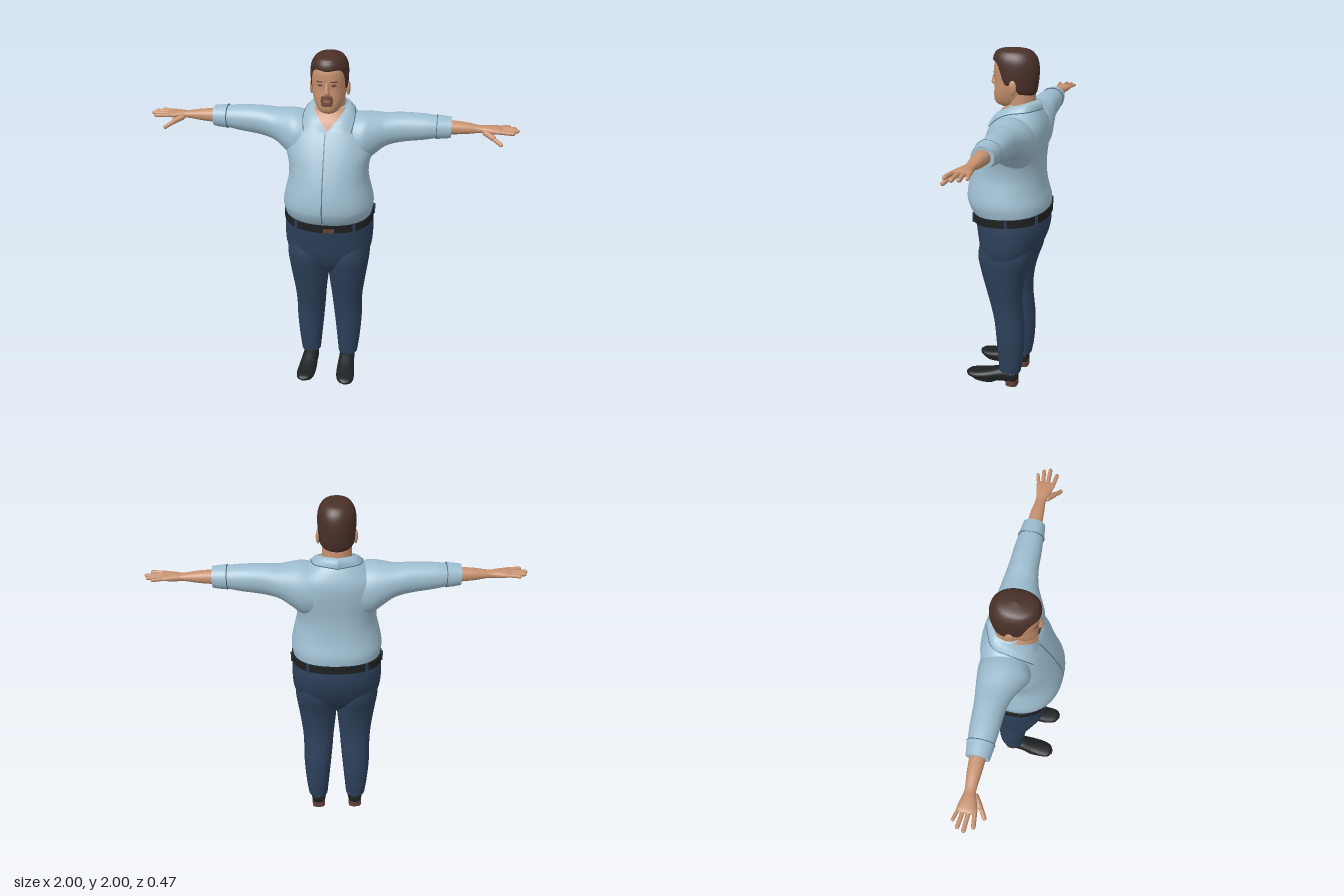
import * as THREE from 'three';
import { mergeVertices, mergeGeometries, toCreasedNormals } from 'three/addons/utils/BufferGeometryUtils.js';

const mat = (name, color, side = THREE.FrontSide) => {
  const m = new THREE.MeshStandardMaterial({ color, side });
  m.name = name;
  return m;
};
const { lerp } = THREE.MathUtils;

// Smooth interpolation of a table of rows, keyed by the first column
function sample(rows, t) {
  let i = 0;
  while (i < rows.length - 2 && t > rows[i + 1][0]) i++;
  const p = rows[i], q = rows[i + 1], h = q[0] - p[0];
  const s = Math.min(1, Math.max(0, (t - p[0]) / h));
  const slope = (k, c) => {
    const a = rows[Math.max(0, k - 1)], b = rows[Math.min(rows.length - 1, k + 1)];
    return (b[c] - a[c]) / (b[0] - a[0]);
  };
  return p.map((v, c) => c === 0 ? t :
    v * (1 + 2 * s) * (1 - s) ** 2 + h * slope(i, c) * s * (1 - s) ** 2 +
    q[c] * s * s * (3 - 2 * s) + h * slope(i + 1, c) * s * s * (s - 1));
}

// Grid surface from fn(u, v) -> [x, y, z]
function grid(nu, nv, fn) {
  const pos = [], idx = [];
  for (let i = 0; i <= nv; i++) for (let j = 0; j <= nu; j++) pos.push(...fn(j / nu, i / nv));
  for (let i = 0; i < nv; i++) for (let j = 0; j < nu; j++) {
    const a = i * (nu + 1) + j, b = a + nu + 1;
    idx.push(a, a + 1, b, a + 1, b + 1, b);
  }
  let g = new THREE.BufferGeometry();
  g.setAttribute('position', new THREE.Float32BufferAttribute(pos, 3));
  g.setIndex(idx);
  g = mergeVertices(g, 1e-5);
  g.computeVertexNormals();
  return g;
}

// Point on a superelliptic section [t, a0, a1, b0, b1]; a, b, t are right-handed
const place = { x: (a, b, t) => [t, a, b], y: (a, b, t) => [b, t, a], z: (a, b, t) => [a, b, t] };
function ringPoint(r, u, n, axis, off = 0) {
  const c = Math.cos(u * 2 * Math.PI), s = Math.sin(u * 2 * Math.PI);
  const f = (v) => Math.sign(v) * Math.abs(v) ** (2 / n);
  return place[axis]((r[1] + r[2]) / 2 + ((r[2] - r[1]) / 2 + off) * f(c),
    (r[3] + r[4]) / 2 + ((r[4] - r[3]) / 2 + off) * f(s), r[0]);
}

// Closed body lofted through rows, with flat ends
function loft(rows, axis, n = 2, seg = 40, sub = 4) {
  const count = (rows.length - 1) * sub;
  const at = (v) => {
    const k = Math.min(rows.length - 2, Math.floor(v * (rows.length - 1) + 1e-9));
    return sample(rows, lerp(rows[k][0], rows[k + 1][0], v * (rows.length - 1) - k));
  };
  const cap = (r, top) => grid(seg, 1, (u, v) => {
    const mid = [r[0], (r[1] + r[2]) / 2, (r[1] + r[2]) / 2, (r[3] + r[4]) / 2, (r[3] + r[4]) / 2];
    return ringPoint((v === 1) === top ? mid : r, u, n, axis);
  });
  return mergeGeometries([grid(seg, count, (u, v) => ringPoint(at(v), u, n, axis)),
    cap(rows[0], false), cap(rows[rows.length - 1], true)]);
}

// Rows given as [y, zBack, zFront, halfWidth]
const sym = (rows) => rows.map(([y, b, f, w]) => [y, b, f, -w, w]);

// Thin patch lying on the front of a lofted body
function patch(rows, n, y0, y1, xRange, off = 0.004) {
  return grid(8, 20, (u, v) => {
    const y = lerp(y0, y1, v), r = sample(rows, y), [xa, xb] = xRange(v), x = lerp(xa, xb, u);
    const k = Math.max(0, 1 - Math.abs(x / r[4]) ** n) ** (1 / n);
    return [x, y, (r[1] + r[2]) / 2 + (r[2] - r[1]) / 2 * k + off];
  });
}
const oval = (cx, w) => (v) => {
  const h = w * Math.sqrt(Math.max(0, 1 - (2 * v - 1) ** 2));
  return [cx - h, cx + h];
};

// Rounded rod between two points
function rod(a, b, r) {
  const p = new THREE.Vector3(...a), q = new THREE.Vector3(...b), d = q.clone().sub(p);
  const g = new THREE.CapsuleGeometry(r, Math.max(0.001, d.length() - 2 * r), 5, 12);
  g.applyQuaternion(new THREE.Quaternion().setFromUnitVectors(new THREE.Vector3(0, 1, 0), d.clone().normalize()));
  return g.translate(...p.add(q).multiplyScalar(0.5).toArray());
}
const ball = (x, y, z, sx, sy, sz) => new THREE.SphereGeometry(1, 20, 14).scale(sx, sy, sz).translate(x, y, z);
const box = (x, y, z, w, h, d) => new THREE.BoxGeometry(w, h, d).translate(x, y, z);

function mirrored(geo) {
  const g = geo.clone().scale(-1, 1, 1), ix = g.index.array;
  for (let i = 0; i < ix.length; i += 3) [ix[i], ix[i + 1]] = [ix[i + 1], ix[i]];
  return g;
}

export function createModel() {
  const root = new THREE.Group();
  root.name = 'standingMan';
  const shirt = mat('shirtBlue', 0x9dbdcf, THREE.DoubleSide), seam = mat('seamBlue', 0x567080);
  const denim = mat('trouserNavy', 0x2d405a), skin = mat('skin', 0xc6916f), hair = mat('hairBrown', 0x4a3029, THREE.DoubleSide);
  const black = mat('leatherBlack', 0x1d2022, THREE.DoubleSide), sole = mat('soleBrown', 0x60403a);
  const beard = mat('beardBrown', 0x70493a), lip = mat('lipAndLid', 0x9c6653), buckle = mat('buckleBrown', 0x6a4232);
  const add = (name, geo, m) => {
    const mesh = new THREE.Mesh(geo, m);
    mesh.name = name;
    root.add(mesh);
  };
  const pair = (name, geo, m) => {
    add(name + 'Left', geo, m);
    add(name + 'Right', mirrored(geo), m);
  };

  // Shirt body
  const torso = sym([[1.09, -0.215, 0.185, 0.235], [1.13, -0.226, 0.212, 0.245], [1.18, -0.226, 0.23, 0.25],
    [1.25, -0.207, 0.225, 0.236], [1.33, -0.196, 0.205, 0.218], [1.4, -0.195, 0.18, 0.22], [1.47, -0.2, 0.15, 0.235],
    [1.54, -0.205, 0.115, 0.232], [1.6, -0.2, 0.08, 0.21], [1.65, -0.18, 0.052, 0.16], [1.69, -0.155, 0.015, 0.105],
    [1.71, -0.138, -0.01, 0.075]]);
  add('shirtBody', loft(torso, 'y', 2.3, 56), shirt);
  add('shirtPlacket', patch(torso, 2.3, 1.12, 1.6, () => [-0.012, -0.006], 0.003), seam);
  add('openNeck', patch(torso, 2.3, 1.6, 1.7, (v) => [-0.085 * v, 0.085 * v]), skin);

  // Sleeves and cuffs
  pair('sleeve', loft([[0.1, 1.37, 1.655, -0.185, 0.07], [0.18, 1.385, 1.67, -0.188, 0.08], [0.24, 1.435, 1.667, -0.18, 0.052],
    [0.3, 1.483, 1.662, -0.17, 0.022], [0.38, 1.508, 1.668, -0.158, 0.002], [0.5, 1.527, 1.666, -0.15, -0.005],
    [0.58, 1.543, 1.658, -0.14, -0.013], [0.635, 1.55, 1.652, -0.13, -0.02]], 'x', 2.1), shirt);
  pair('cuff', loft([[0.57, 1.537, 1.664, -0.145, -0.008], [0.61, 1.54, 1.66, -0.139, -0.013],
    [0.645, 1.546, 1.656, -0.134, -0.017]], 'x', 2.1), shirt);
  pair('cuffSeam', loft([[0.566, 1.538, 1.663, -0.144, -0.009], [0.57, 1.535, 1.666, -0.147, -0.006]], 'x', 2.1, 40, 1), seam);

  // Collar: a folded strip from the open front round to the nape
  const curve = (pts) => new THREE.CatmullRomCurve3(pts.map((p) => new THREE.Vector3(...p)));
  const inner = curve([[0.005, 1.6, 0.088], [0.05, 1.655, 0.062], [0.087, 1.698, -0.02], [0.08, 1.722, -0.1], [0, 1.73, -0.148]]);
  const outer = curve([[0.125, 1.595, 0.082], [0.136, 1.645, 0.03], [0.136, 1.672, -0.03], [0.115, 1.685, -0.125], [0, 1.685, -0.182]]);
  pair('collar', grid(24, 4, (u, v) => {
    const p = inner.getPoint(u).lerp(outer.getPoint(u), v), lift = 0.014 * Math.sin(v * Math.PI);
    return [p.x, p.y + lift * 0.6, p.z + lift * (1 - 2 * u) * 0.8];
  }), shirt);
  pair('collarEdge', new THREE.TubeGeometry(outer, 24, 0.0025, 6), seam);

  // Forearms and hands
  pair('forearm', loft([[0.62, 1.563, 1.639, -0.117, -0.035], [0.72, 1.571, 1.632, -0.11, -0.04], [0.8, 1.582, 1.62, -0.1, -0.045],
    [0.84, 1.58, 1.622, -0.106, -0.033], [0.89, 1.588, 1.62, -0.116, -0.02], [0.91, 1.594, 1.615, -0.11, -0.027]], 'x', 2.2, 28), skin);
  [[-0.03, 0.975, -0.018], [-0.056, 1, -0.06], [-0.08, 0.988, -0.093], [-0.102, 0.958, -0.122]].forEach(([z0, x, z1], i) =>
    pair('finger' + (i + 1), rod([0.88, 1.604, z0], [x, 1.604, z1], i === 3 ? 0.009 : 0.0108), skin));
  pair('thumbBase', rod([0.81, 1.597, -0.05], [0.875, 1.572, -0.005], 0.015), skin);
  pair('thumb', rod([0.855, 1.58, -0.015], [0.914, 1.548, 0.021], 0.011), skin);

  // Neck, head, ears and nose
  add('neck', loft(sym([[1.6, -0.15, 0.05, 0.09], [1.65, -0.145, 0.035, 0.085], [1.7, -0.14, 0.012, 0.079],
    [1.78, -0.135, 0, 0.077]]), 'y'), skin);
  const head = sym([[1.69, -0.05, 0.05, 0.035], [1.705, -0.085, 0.077, 0.055], [1.735, -0.11, 0.087, 0.072],
    [1.78, -0.13, 0.085, 0.086], [1.83, -0.14, 0.081, 0.091], [1.88, -0.145, 0.085, 0.093], [1.93, -0.14, 0.079, 0.089],
    [1.965, -0.11, 0.055, 0.068]]);
  add('head', loft(head, 'y', 2.25), skin);
  pair('ear', ball(0.097, 1.805, -0.042, 0.011, 0.038, 0.021).rotateZ(0), skin);
  add('nose', loft(sym([[1.796, 0.06, 0.088, 0.012], [1.808, 0.06, 0.104, 0.018], [1.825, 0.06, 0.104, 0.014],
    [1.868, 0.06, 0.088, 0.008]]), 'y', 2, 16), skin);

  // Painted face details
  add('goatee', patch(head, 2.25, 1.742, 1.797, (v) => [-0.026 - 0.006 * Math.sin(v * 3), 0.026 + 0.006 * Math.sin(v * 3)], 0.003), beard);
  add('lips', patch(head, 2.25, 1.764, 1.779, oval(0, 0.02), 0.006), lip);
  pair('eyeLid', patch(head, 2.25, 1.845, 1.86, oval(0.036, 0.016), 0.003), lip);
  pair('eye', patch(head, 2.25, 1.849, 1.856, oval(0.036, 0.009), 0.005), hair);
  pair('eyebrow', patch(head, 2.25, 1.868, 1.876, oval(0.038, 0.02), 0.004), beard);

  // Hair: a shell whose lower edge follows the hairline
  const hairRows = sym([[1.74, -0.138, 0.06, 0.086], [1.8, -0.15, 0.082, 0.094], [1.87, -0.157, 0.09, 0.099],
    [1.93, -0.151, 0.091, 0.097], [1.965, -0.133, 0.083, 0.083], [1.988, -0.1, 0.055, 0.057], [2, -0.03, -0.03, 0]]);
  const hairline = [[0, 1.925], [0.7, 1.928], [1, 1.9], [1.25, 1.815], [1.6, 1.81], [1.9, 1.77], [3.15, 1.752]];
  add('hair', grid(64, 24, (u, v) => {
    const low = sample(hairline, Math.min(u, 1 - u) * 2 * Math.PI)[1];
    const y = lerp(low, 2, Math.sin(v * Math.PI / 2));
    return ringPoint(sample(hairRows, y), u, 2.15, 'y', v === 0 ? -0.008 : 0);
  }), hair);

  // Trousers
  const hips = sym([[0.73, -0.06, 0.08, 0.1], [0.8, -0.125, 0.125, 0.2], [0.88, -0.175, 0.152, 0.24], [0.95, -0.207, 0.165, 0.25],
    [1.03, -0.225, 0.176, 0.25], [1.1, -0.222, 0.183, 0.242]]);
  add('trouserHips', loft(hips, 'y', 2.3, 56), denim);
  pair('trouserLeg', loft([[0.1, -0.1, 0.026, 0.057, 0.173], [0.2, -0.115, 0.036, 0.048, 0.185], [0.35, -0.12, 0.046, 0.034, 0.196],
    [0.45, -0.112, 0.058, 0.025, 0.196], [0.55, -0.103, 0.08, 0.017, 0.2], [0.65, -0.109, 0.105, 0.006, 0.212],
    [0.75, -0.13, 0.129, -0.002, 0.226], [0.85, -0.162, 0.146, 0, 0.237], [0.95, -0.17, 0.13, 0.02, 0.23]], 'y', 2.2), denim);

  // Belt, tilted up towards the back, with loops and buckle
  const beltRow = [0, -0.234, 0.198, -0.251, 0.251];
  const edge = [[0, -0.02], [0, 0], [1, 0], [1, -0.02]];
  add('belt', toCreasedNormals(grid(64, 3, (u, v) => {
    const [h, off] = edge[Math.round(v * 3)], p = ringPoint(beltRow, u, 2.3, 'y', off);
    return [p[0], 1.071 - 0.075 * p[2] + 0.045 * h, p[2]];
  }), 0.6), black);
  const beltPlate = (u) => {
    const p = ringPoint(beltRow, u, 2.3, 'y', 0.003);
    return new THREE.BoxGeometry(0.014, 0.055, 0.008).rotateY(u * 2 * Math.PI).translate(p[0], 1.094 - 0.075 * p[2], p[2]);
  };
  [0.1, 0.27, 0.4].forEach((u, i) => pair('beltLoop' + (i + 1), beltPlate(u), denim));
  add('buckle', box(0.025, 1.071, 0.2, 0.06, 0.02, 0.008), buckle);

  // Ankles and shoes
  pair('ankle', new THREE.CylinderGeometry(0.042, 0.04, 0.07, 24).translate(0.113, 0.1, -0.04), skin);
  pair('shoe', loft([[-0.083, 0.095, 0.135, 0.04, 0.075], [-0.072, 0.077, 0.15, 0.024, 0.1], [-0.02, 0.067, 0.158, 0.022, 0.112],
    [0.03, 0.066, 0.162, 0.018, 0.105], [0.1, 0.063, 0.17, 0.015, 0.082], [0.17, 0.068, 0.175, 0.018, 0.067],
    [0.215, 0.085, 0.165, 0.026, 0.06], [0.235, 0.115, 0.14, 0.036, 0.05]], 'z', 2.4, 32), black);
  pair('shoeHeel', loft([[0, -0.083, -0.012, 0.075, 0.152], [0.034, -0.083, -0.008, 0.073, 0.154]], 'y', 3.2, 32, 1), sole);
  pair('shoeSole', loft([[0.012, 0.05, 0.2, 0.073, 0.166], [0.024, 0.03, 0.215, 0.068, 0.172]], 'y', 2.4, 32, 1), black);
  return root;
}
